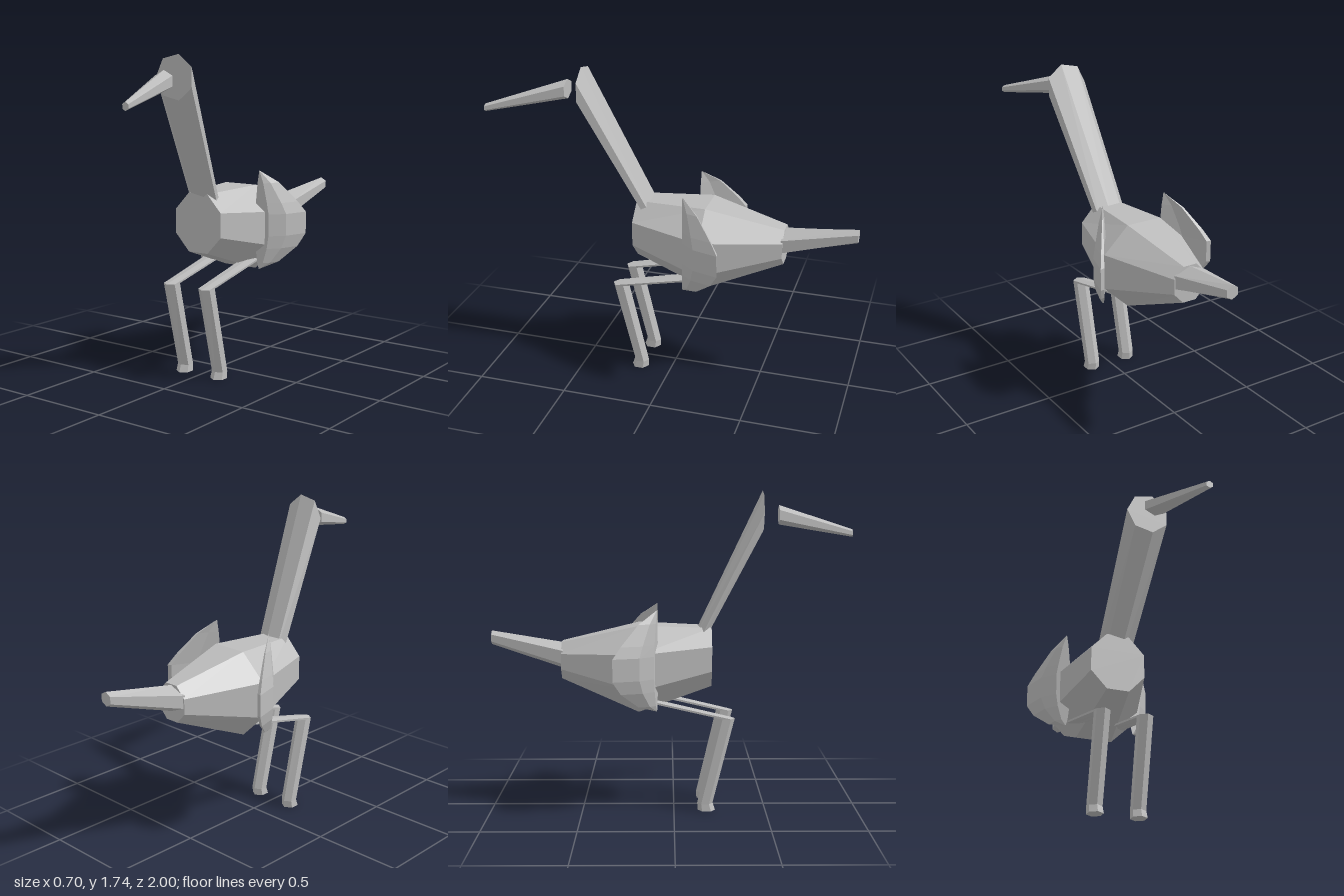
import * as THREE from 'three';

const grey = new THREE.MeshStandardMaterial({ color: 0xbcbcbc });
grey.name = 'plain grey';

// Upright ring in a plane of constant z
function ringZ(n, x, y, z, rx, ry, phase) {
  return Array.from({ length: n }, (_, i) => {
    const a = phase + (i / n) * Math.PI * 2;
    return new THREE.Vector3(x + rx * Math.cos(a), y + ry * Math.sin(a), z);
  });
}

// Level ring in a plane of constant y
function ringY(n, x, y, z, rx, rz, phase) {
  return ringZ(n, x, z, y, rx, rz, phase).map(p => new THREE.Vector3(p.x, p.z, p.y));
}

// Skin a list of rings with flat faces and closed ends, always facing outwards
function loft(name, rings) {
  const tris = [];
  const add = (a, b, c) => {
    const area = b.clone().sub(a).cross(c.clone().sub(a)).length();
    if (area > 1e-8) tris.push([a, b, c]);
  };
  const n = rings[0].length;
  for (let r = 0; r < rings.length - 1; r++) {
    for (let i = 0; i < n; i++) {
      const j = (i + 1) % n, A = rings[r], B = rings[r + 1];
      add(A[i], A[j], B[j]);
      add(A[i], B[j], B[i]);
    }
  }
  const first = rings[0], last = rings[rings.length - 1];
  for (let i = 1; i < n - 1; i++) {
    add(first[0], first[i + 1], first[i]);
    add(last[0], last[i], last[i + 1]);
  }
  const volume = tris.reduce((v, [a, b, c]) => v + a.dot(b.clone().cross(c)), 0);
  const points = tris.flatMap(([a, b, c]) => (volume < 0 ? [a, c, b] : [a, b, c]));
  const geometry = new THREE.BufferGeometry().setFromPoints(points);
  geometry.computeVertexNormals();
  const mesh = new THREE.Mesh(geometry, grey);
  mesh.name = name;
  return mesh;
}

export function createModel() {
  const model = new THREE.Group();
  model.name = 'bird';
  const up = Math.PI / 2;

  // Body: flat-sided octagons from chest to rump
  const k = 1 / Math.cos(Math.PI / 8);
  model.add(loft('body', [
    [0.84, 0.205, 0.15, 0.16],
    [0.78, -0.19, 0.247, 0.235],
    [0.82, -0.61, 0.095, 0.1],
  ].map(([y, z, rx, ry]) => ringZ(8, 0, y, z, rx * k, ry * k, Math.PI / 8))));

  // Tail
  model.add(loft('tail', [
    ringZ(6, 0, 0.842, -0.6, 0.104, 0.072, up),
    ringZ(6, 0.038, 0.936, -1, 0.038, 0.038, up),
  ]));

  // Neck, starting inside the chest
  model.add(loft('neck', [
    ringZ(7, -0.005, 0.862, 0.1, 0.093, 0.073, Math.PI),
    ringZ(7, 0.073, 1.62, 0.487, 0.12, 0.118, Math.PI),
  ]));

  // Beak, floating ahead of the neck
  model.add(loft('beak', [
    ringZ(6, 0.076, 1.604, 0.575, 0.063, 0.053, up),
    ringZ(6, 0.198, 1.5, 1, 0.021, 0.021, up),
  ]));

  // Wing: a curved blade section that shrinks towards its upper and lower points
  const tip = [0.193, -0.09];
  const blade = [
    [0.17, -0.085], [0.245, -0.105], [0.31, -0.18],
    [0.35, -0.32], [0.325, -0.315], [0.26, -0.18],
  ];
  const rows = [
    [1.11, 0], [1.04, 0.42], [0.93, 0.82], [0.87, 1],
    [0.75, 1], [0.68, 0.82], [0.6, 0.42], [0.565, 0],
  ];

  for (const [side, s] of [['left', 1], ['right', -1]]) {
    model.add(loft(side + 'Wing', rows.map(([y, f]) => blade.map(([x, z]) =>
      new THREE.Vector3(s * (tip[0] + f * (x - tip[0])), y, tip[1] + f * (z - tip[1]))))));

    // Leg: sloping thigh, shin and foot
    const x = s * 0.117;
    const hip = ringY(6, s * 0.12, 0.615, -0.15, 0.052, 0.046, up);
    const knee = ringY(6, x, 0.513, 0.285, 0.043, 0.046, up);
    const ankle = ringY(6, x, 0.04, 0.17, 0.042, 0.042, up);
    const sole = ringY(6, x, 0, 0.178, 0.045, 0.048, up);
    const leg = new THREE.Group();
    leg.name = side + 'Leg';
    leg.add(loft('thigh', [hip, knee]), loft('shin', [knee, ankle]), loft('foot', [ankle, sole]));
    model.add(leg);
  }
  return model;
}
